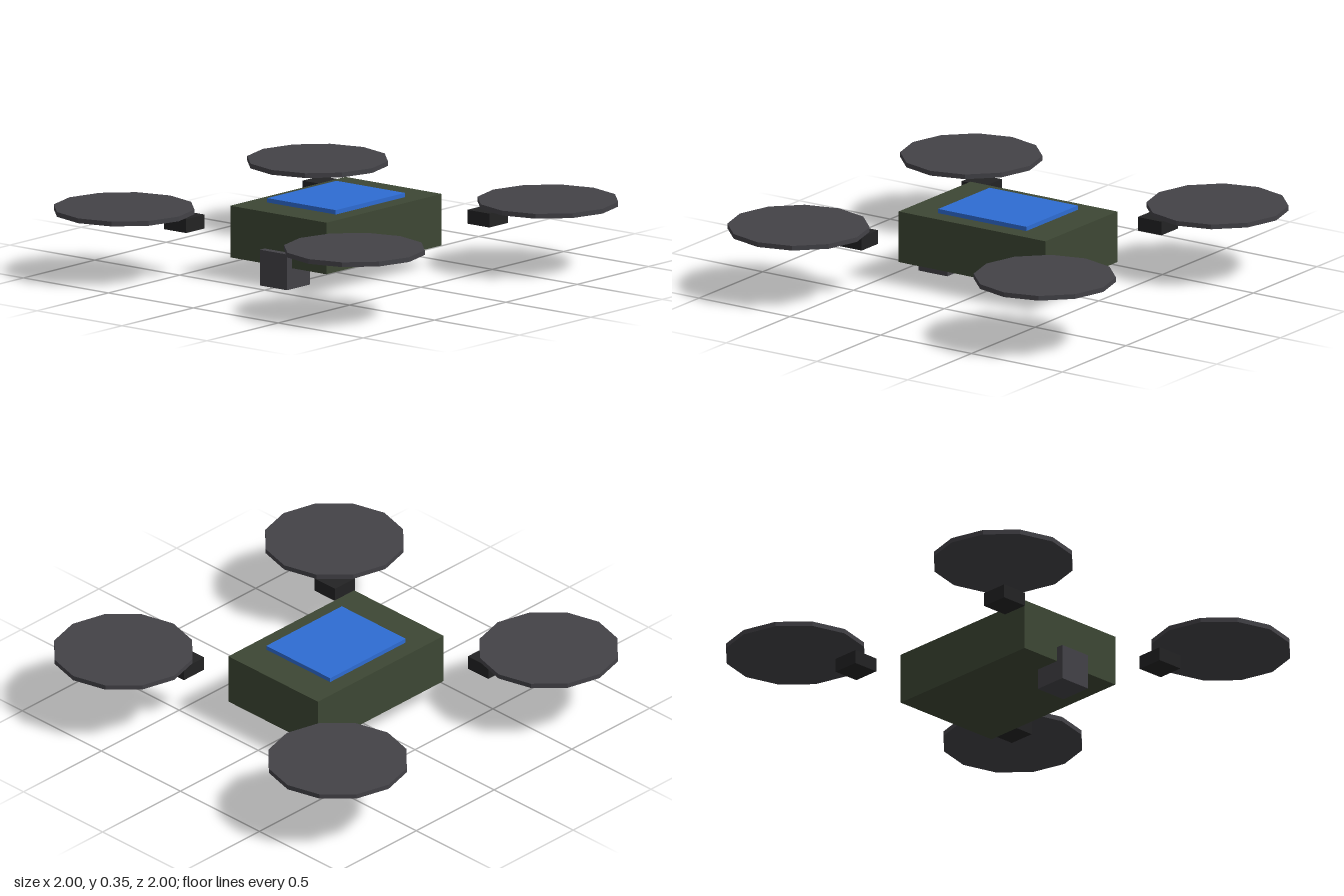
import * as THREE from 'three';

const material = (name, color) => {
  const m = new THREE.MeshStandardMaterial({ color });
  m.name = name;
  return m;
};

export function createModel() {
  const green = material('olive green', 0x3d4734);
  const blue = material('panel blue', 0x2e6cd2);
  const grey = material('dark grey', 0x434247);
  const black = material('motor black', 0x232324);

  const model = new THREE.Group();
  model.name = 'quadcopter';

  const add = (parent, name, geometry, mat, x, y, z) => {
    const mesh = new THREE.Mesh(geometry, mat);
    mesh.name = name;
    mesh.position.set(x, y, z);
    parent.add(mesh);
  };

  // Hull with a top panel and a camera slung under the nose
  add(model, 'body', new THREE.BoxGeometry(0.566, 0.238, 0.808), green, 0, 0.215, 0);
  add(model, 'topPanel', new THREE.BoxGeometry(0.404, 0.02, 0.485), blue, 0, 0.344, 0);
  add(model, 'camera', new THREE.BoxGeometry(0.16, 0.165, 0.16), grey, 0, 0.0825, 0.358);

  // Four floating motors, each with a twelve-sided rotor disc
  const motorGeometry = new THREE.BoxGeometry(0.13, 0.064, 0.13);
  const discGeometry = new THREE.CylinderGeometry(0.322, 0.322, 0.022, 12).toNonIndexed();
  discGeometry.computeVertexNormals();
  for (const sx of [-1, 1]) {
    for (const sz of [-1, 1]) {
      const rotor = new THREE.Group();
      rotor.name = (sz > 0 ? 'front' : 'back') + (sx > 0 ? 'Left' : 'Right') + 'Rotor';
      add(rotor, 'motor', motorGeometry, black, sx * 0.485, 0.245, sz * 0.485);
      add(rotor, 'rotorDisc', discGeometry, grey, sx * 0.678, 0.308, sz * 0.678);
      model.add(rotor);
    }
  }
  return model;
}
